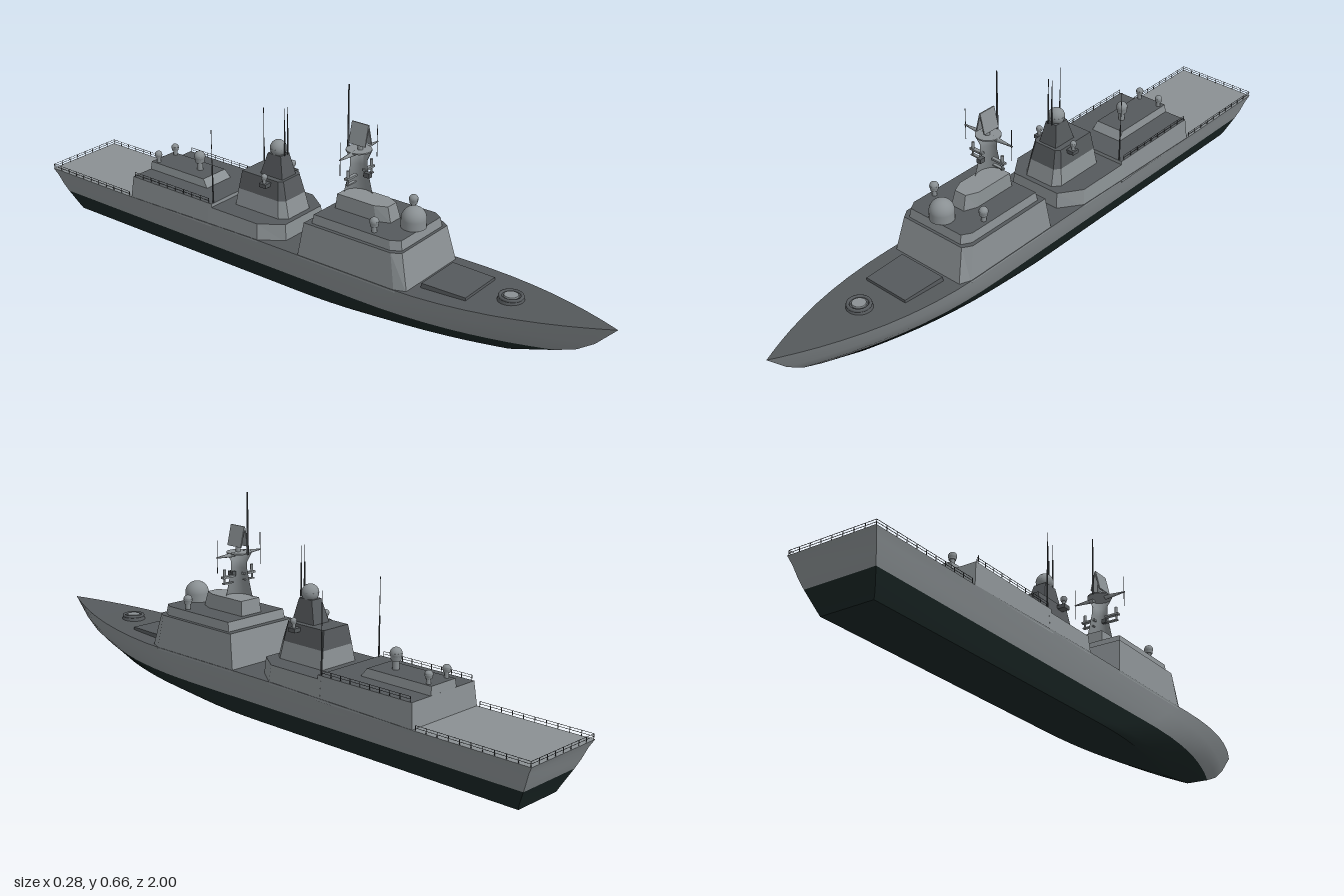
import * as THREE from 'three';

const mat = (name, color, side = THREE.FrontSide) => {
  const m = new THREE.MeshStandardMaterial({ color, side });
  m.name = name;
  return m;
};
const clamp = (v) => Math.min(1, Math.max(0, v));

export function createModel() {
  const ship = new THREE.Group();
  ship.name = 'warship';
  const grey = mat('hull grey', 0x8a9093);
  const dark = mat('deck grey', 0x55595c);
  const black = mat('underwater black', 0x1a2625);
  const rod = mat('antenna grey', 0x44484b);

  const add = (name, geo, material, x = 0, y = 0, z = 0, parent = ship) => {
    const m = new THREE.Mesh(geo, material);
    m.name = name;
    m.position.set(x, y, z);
    parent.add(m);
    return m;
  };
  const box = (name, material, w, h, d, x, y, z) => add(name, new THREE.BoxGeometry(w, h, d), material, x, y, z);
  // upright cylinder standing on y
  const post = (name, material, r, h, x, y, z, rTop = r, n = 12) =>
    add(name, new THREE.CylinderGeometry(rTop, r, h, n), material, x, y + h / 2, z);

  // surface through rows of points
  const loft = (rows, flat = false) => {
    const n = rows[0].length, idx = [];
    for (let i = 0; i < rows.length - 1; i++)
      for (let j = 0; j < n - 1; j++) {
        const a = i * n + j, b = a + 1, c = b + n, d = a + n;
        idx.push(a, c, b, a, d, c);
      }
    let g = new THREE.BufferGeometry();
    g.setAttribute('position', new THREE.Float32BufferAttribute(rows.flat(2), 3));
    g.setIndex(idx);
    if (flat) g = g.toNonIndexed();
    g.computeVertexNormals();
    return g;
  };
  const mirror = (pts) => pts.map(([x, y, z]) => [-x, y, z]);
  const around = (pts) => [...pts, ...mirror(pts).reverse()];

  // block between two half outlines [x, z], listed from stern to bow
  const block = (name, low, y0, high, y1, side = grey, top = dark) => {
    const a = low.map(([x, z]) => [x, y0, z]), b = high.map(([x, z]) => [x, y1, z]);
    const close = (p) => [...around(p), p[0]];
    add(name, loft([close(a), close(b)], true), side);
    add(name + ' top', loft([b, mirror(b)], true), top);
  };

  // ---- hull: waterlines [y, stern z, taper start z, bow z, half width]
  const deckY = (z) => 0.147 + 0.01 * clamp((z + 0.62) / 0.5) + 0.031 * Math.pow(clamp((z - 0.4) / 0.6), 1.3);
  const lines = [
    [0, -0.93, 0, 0.52, 0.083], [0.016, -0.937, 0.1, 0.69, 0.091], [0.065, -0.962, 0.25, 0.83, 0.112],
    [0.09, -0.974, 0.3, 0.89, 0.121], [0.125, -0.988, 0.35, 0.94, 0.131], [null, -1, 0.38, 1, 0.139],
  ];
  const steps = [0, 0.12, 0.25, 0.38, 0.5, 0.6, 0.7, 0.8, 0.88, 0.95, 1];
  const rows = lines.map(([y, zs, za, zb, w]) => {
    const pts = [zs, -0.63, -0.12].map((z) => [w, z]);
    steps.forEach((s) => pts.push([w * (1 - Math.pow(s, 2.2)), za + s * (zb - za)]));
    return pts.map(([x, z]) => [x, y === null ? deckY(z) : y, z]);
  });
  const transom = rows.map((r) => [[-r[0][0], r[0][1], r[0][2]], r[0]]);
  add('underwater hull', loft(rows.slice(0, 3).map(around)), black);
  add('hull sides', loft(rows.slice(2).map(around)), grey);
  add('underwater transom', loft(transom.slice(0, 3)), black);
  add('transom', loft(transom.slice(2)), grey);
  add('keel bottom', loft([mirror(rows[0]), rows[0]]), black);
  const deck = rows[5];
  add('flight deck', loft([deck.slice(0, 2), mirror(deck.slice(0, 2))]), grey);
  add('main deck', loft([deck.slice(1), mirror(deck.slice(1))]), dark);

  // ---- foredeck: missile hatch and gun ring
  block('foredeck hatch', [[0.082, 0.445], [0.078, 0.59]], 0.15, [[0.08, 0.447], [0.076, 0.588]], 0.172, dark, dark);
  post('gun ring base', dark, 0.04, 0.018, 0, 0.162, 0.685, 0.034, 24);
  const ring = add('gun ring', new THREE.TorusGeometry(0.031, 0.005, 8, 24), dark, 0, 0.18, 0.685);
  ring.rotation.x = Math.PI / 2;
  post('gun ring cap', grey, 0.022, 0.006, 0, 0.178, 0.685, 0.02, 24);

  // ---- forward superstructure
  block('bridge block', [[0.138, 0.052], [0.138, 0.395], [0.125, 0.43]], 0.15,
    [[0.129, 0.07], [0.129, 0.375], [0.112, 0.402]], 0.262);
  block('bridge upper tier', [[0.117, 0.09], [0.117, 0.365], [0.1, 0.393]], 0.262,
    [[0.114, 0.095], [0.114, 0.36], [0.097, 0.388]], 0.29);
  post('radome base', grey, 0.037, 0.025, 0, 0.29, 0.362, 0.037, 24);
  add('radome', new THREE.SphereGeometry(0.037, 24, 12, 0, Math.PI * 2, 0, Math.PI / 2), grey, 0, 0.315, 0.362);

  // small capsule-shaped sensor on a stalk
  const sensor = (name, x, y, z, r, h) => {
    post(name + ' stalk', grey, r * 0.55, h * 0.5, x, y, z);
    post(name + ' body', grey, r * 0.8, h * 0.35, x, y + h * 0.4, z, r);
    add(name, new THREE.SphereGeometry(r, 14, 10), grey, x, y + h - r, z);
  };
  for (const s of [-1, 1]) sensor('bridge sensor', s * 0.096, 0.288, 0.295, 0.014, 0.047);

  // ---- main tower
  block('tower base', [[0.04, 0.115], [0.04, 0.26], [0.024, 0.3]], 0.29,
    [[0.037, 0.12], [0.037, 0.25], [0.02, 0.287]], 0.335, grey, grey);
  const towerRings = [[0.335, 0.036, 0.045], [0.38, 0.028, 0.035], [0.42, 0.022, 0.027], [0.445, 0.022, 0.027], [0.472, 0.038, 0.038]]
    .map(([y, rx, rz]) => Array.from({ length: 17 }, (_, i) => {
      const a = -i / 16 * Math.PI * 2;
      return [rx * Math.cos(a), y, 0.168 + rz * Math.sin(a)];
    }));
  add('tower', loft(towerRings), grey);
  const platform = post('tower platform', grey, 0.038, 0.004, 0, 0.471, 0.168, 0.038, 20);
  platform.name = 'tower platform';
  for (const s of [-1, 1]) {
    const arm = add('yard arm', new THREE.CylinderGeometry(0.002, 0.008, 0.07, 8), grey, s * 0.056, 0.469, 0.168);
    arm.rotation.z = -s * Math.PI / 2;
    post('yard whip', rod, 0.001, 0.1, s * 0.088, 0.422, 0.168, 0.001, 6);
    box('upper cross bar', grey, 0.048, 0.006, 0.012, s * 0.042, 0.403, 0.172);
    box('lower cross bar', grey, 0.04, 0.004, 0.01, s * 0.042, 0.384, 0.172);
    post('cross bar strut', grey, 0.003, 0.02, s * 0.057, 0.384, 0.172);
    post('cross bar sensor', grey, 0.0045, 0.024, s * 0.056, 0.403, 0.172);
    const panel = box('radar panel', grey, 0.004, 0.064, 0.058, s * 0.0075, 0.523, 0.172);
    panel.rotation.z = s * 0.24;
  }
  box('front sensor', dark, 0.014, 0.014, 0.02, 0, 0.403, 0.2);
  post('radar pedestal', grey, 0.008, 0.045, 0, 0.472, 0.172);
  post('mast pole', rod, 0.0035, 0.19, 0, 0.47, 0.13, 0.002, 8);

  // ---- aft superstructure and hangar
  block('midship block', [[0.138, -0.3], [0.138, -0.1], [0.088, -0.03]], 0.15,
    [[0.133, -0.3], [0.133, -0.105], [0.085, -0.035]], 0.207);
  block('hangar', [[0.138, -0.63], [0.138, -0.285]], 0.145, [[0.132, -0.622], [0.132, -0.287]], 0.218);
  block('hangar roof house', [[0.055, -0.622], [0.055, -0.375]], 0.216, [[0.05, -0.62], [0.05, -0.395]], 0.243);
  sensor('hangar sensor', 0, 0.243, -0.455, 0.018, 0.063);
  for (const s of [-1, 1]) sensor('landing sensor', s * 0.038, 0.243, -0.6, 0.012, 0.038);

  // ---- funnel and aft mast
  block('funnel base', [[0.07, -0.245], [0.07, -0.075], [0.05, -0.05]], 0.2,
    [[0.06, -0.239], [0.06, -0.083], [0.045, -0.065]], 0.26, grey, grey);
  block('funnel top', [[0.06, -0.239], [0.06, -0.083], [0.045, -0.065]], 0.26,
    [[0.05, -0.232], [0.05, -0.092], [0.038, -0.08]], 0.317, dark, dark);
  block('aft mast', [[0.032, -0.175], [0.032, -0.09]], 0.317, [[0.02, -0.155], [0.02, -0.105]], 0.385, dark, dark);
  post('aft radome base', grey, 0.02, 0.02, 0, 0.383, -0.13, 0.026, 20);
  add('aft radome', new THREE.SphereGeometry(0.026, 20, 12), grey, 0, 0.401, -0.13);
  for (const s of [-1, 1]) {
    box('sensor bracket', dark, 0.035, 0.012, 0.025, s * 0.06, 0.303, -0.13);
    sensor('funnel sensor', s * 0.067, 0.309, -0.13, 0.01, 0.03);
    // tall whips beside the hangar
    post('whip base', rod, 0.0025, 0.13, s * 0.12, 0.21, -0.29, 0.002, 8);
    post('whip', rod, 0.001, 0.115, s * 0.12, 0.34, -0.29, 0.001, 6);
    post('aft mast antenna', rod, 0.0025, 0.1, s * 0.007, 0.385, -0.1, 0.002, 8);
    post('aft mast antenna tip', rod, 0.001, 0.05, s * 0.007, 0.485, -0.1, 0.001, 6);
  }

  // ---- railings
  const rail = (x0, z0, x1, z1, y) => {
    const len = Math.hypot(x1 - x0, z1 - z0), n = Math.round(len / 0.035);
    for (let i = 0; i <= n; i++)
      box('rail post', rod, 0.0015, 0.016, 0.0015, x0 + (x1 - x0) * i / n, y + 0.008, z0 + (z1 - z0) * i / n);
    for (const h of [0.009, 0.016])
      box('rail', rod, Math.abs(x1 - x0) + 0.001, 0.001, Math.abs(z1 - z0) + 0.001, (x0 + x1) / 2, y + h, (z0 + z1) / 2);
  };
  for (const s of [-1, 1]) {
    rail(s * 0.137, -0.997, s * 0.137, -0.64, 0.146);
    rail(s * 0.13, -0.615, s * 0.13, -0.3, 0.217);
  }
  rail(-0.137, -0.997, 0.137, -0.997, 0.146);
  return ship;
}
